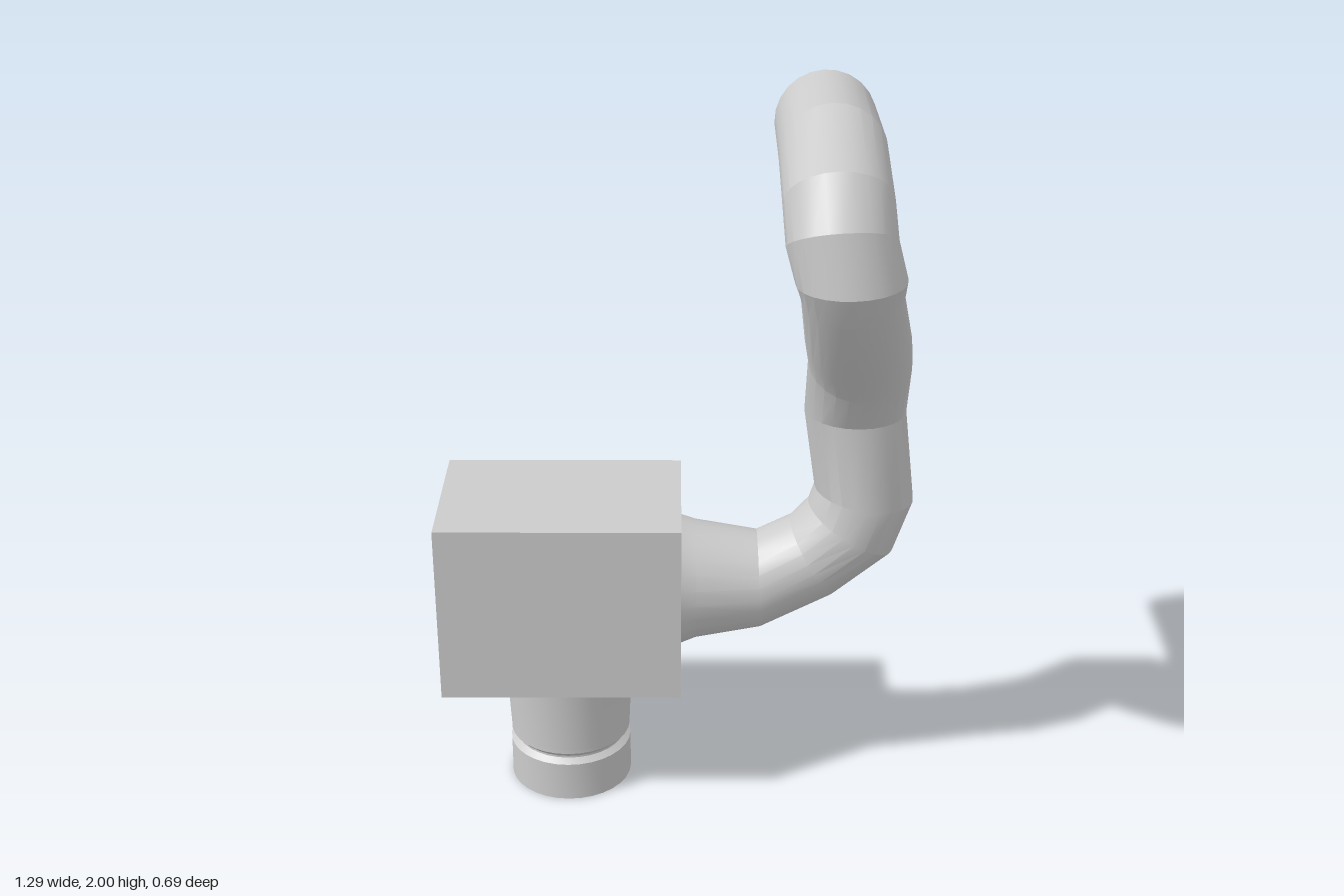
import * as THREE from 'three';
import { toCreasedNormals } from 'three/addons/utils/BufferGeometryUtils.js';

const SIDES = 24;

// Skin a tube through circular rings: [centre, facing direction, radius]
function ringTube(rings) {
  const positions = [], index = [];
  const frame = new THREE.Quaternion();
  const last = new THREE.Vector3(1, 0, 0);
  rings.forEach(([centre, facing, radius], i) => {
    const n = new THREE.Vector3(...facing).normalize();
    frame.premultiply(new THREE.Quaternion().setFromUnitVectors(last, n));
    last.copy(n);
    for (let j = 0; j < SIDES; j++) {
      const a = (j / SIDES) * Math.PI * 2;
      const p = new THREE.Vector3(0, Math.cos(a) * radius, Math.sin(a) * radius);
      p.applyQuaternion(frame).add(new THREE.Vector3(...centre));
      positions.push(p.x, p.y, p.z);
      if (i > 0) {
        const k = (j + 1) % SIDES, lo = (i - 1) * SIDES, hi = i * SIDES;
        index.push(lo + j, lo + k, hi + k, lo + j, hi + k, hi + j);
      }
    }
  });
  const geometry = new THREE.BufferGeometry();
  geometry.setAttribute('position', new THREE.Float32BufferAttribute(positions, 3));
  geometry.setIndex(index);
  return geometry;
}

export function createModel() {
  const group = new THREE.Group();
  const solid = new THREE.MeshStandardMaterial({ color: 0xcccccc });
  const open = new THREE.MeshStandardMaterial({ color: 0xcccccc, side: THREE.DoubleSide });

  const add = (name, geometry, material, x = 0, y = 0, z = 0) => {
    const mesh = new THREE.Mesh(geometry, material);
    mesh.name = name;
    mesh.position.set(x, y, z);
    group.add(mesh);
  };

  // Box housing
  add('housing', new THREE.BoxGeometry(0.657, 0.51, 0.445), solid, -0.318, 0.625, -0.123);

  // Open inlet collar with a groove, under the housing
  const collar = [[0.172, 0], [0.172, 0.115], [0.155, 0.128], [0.155, 0.134],
    [0.17, 0.15], [0.17, 0.165], [0.18, 0.375]].map(p => new THREE.Vector2(...p));
  add('inletCollar', toCreasedNormals(new THREE.LatheGeometry(collar, 32), 0.4),
    open, -0.308, 0, -0.122);

  // Flared outlet and bent duct, open at its upper end
  const r = 0.136;
  const duct = ringTube([
    [[0.005, 0.622, -0.122], [1, 0, 0], 0.181],
    [[0.05, 0.624, -0.122], [1, 0, 0], 0.165],
    [[0.225, 0.625, -0.122], [1, 0.04, 0], r],
    [[0.37, 0.70, -0.122], [0.86, 0.5, 0], r * 0.92],
    [[0.475, 0.795, -0.122], [0.5, 0.86, 0], r],
    [[0.508, 0.895, -0.122], [0.13, 1, 0], r],
    [[0.475, 1.14, -0.12], [0, 1, 0], r],
    [[0.475, 1.31, -0.045], [0, 0.85, 0.52], r],
    [[0.46, 1.40, 0.03], [-0.04, 0.77, 0.64], r],
    [[0.427, 1.57, 0.183], [-0.05, 0.95, 0.3], r * 0.93],
    [[0.42, 1.62, 0.213], [-0.05, 1, 0], r],
    [[0.395, 1.712, 0.2], [-0.05, 0.87, -0.48], r],
    [[0.388, 1.795, 0.14], [0, 0.65, -0.76], r],
    [[0.386, 1.858, -0.035], [0, 0.05, -1], r],
    [[0.386, 1.866, -0.34], [0, 0.02, -1], r * 0.98],
  ]);
  add('duct', toCreasedNormals(duct, 0.3), open);

  return group;
}
